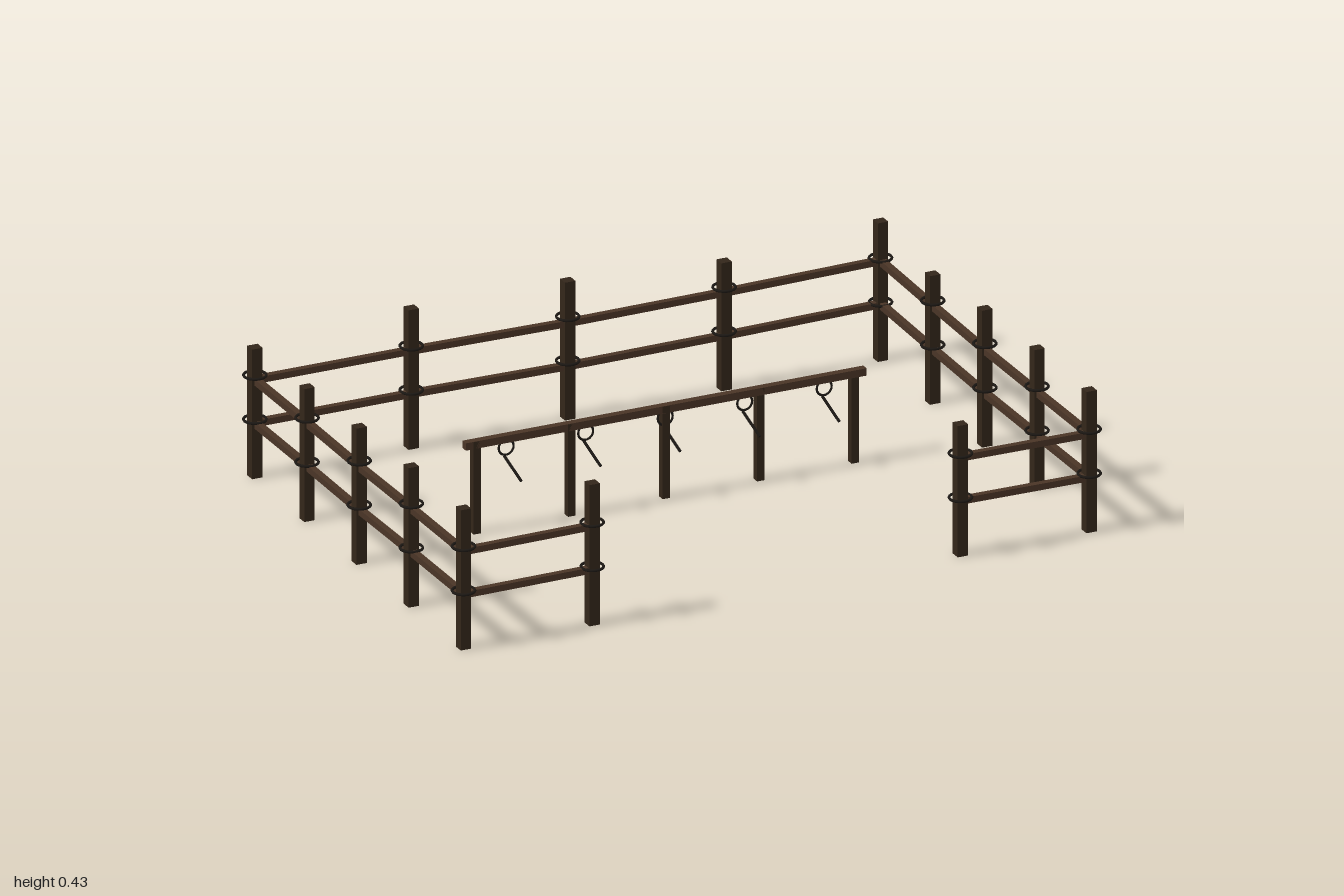
import * as THREE from 'three';

const postWood = new THREE.MeshStandardMaterial({ color: 0x33261a });
postWood.name = 'dark post wood';
const railWood = new THREE.MeshStandardMaterial({ color: 0x4a3526 });
railWood.name = 'rail wood';
const binding = new THREE.MeshStandardMaterial({ color: 0x1c1814 });
binding.name = 'black binding';

function add(parent, name, geometry, material, x, y, z) {
  const mesh = new THREE.Mesh(geometry, material);
  mesh.name = name;
  mesh.position.set(x, y, z);
  parent.add(mesh);
  return mesh;
}

// Square bar between two points
function bar(parent, name, a, b, size, material) {
  const length = a.distanceTo(b);
  const mesh = add(parent, name, new THREE.BoxGeometry(size, size, length), material, 0, 0, 0);
  mesh.position.copy(a).add(b).multiplyScalar(0.5);
  mesh.lookAt(b);
  return mesh;
}

export function createModel() {
  const model = new THREE.Group();
  model.name = 'corral';

  // Fence line from one side of the gate round to the other: x, z, post height
  const posts = [
    [-0.565, 0.67, 0.425], [-0.96, 0.67, 0.422], [-0.96, 0.335, 0.42], [-0.96, 0, 0.41],
    [-0.96, -0.335, 0.4], [-0.96, -0.67, 0.39], [-0.48, -0.67, 0.42], [0, -0.67, 0.415],
    [0.48, -0.67, 0.385], [0.96, -0.67, 0.417], [0.96, -0.335, 0.387], [0.96, 0, 0.412],
    [0.96, 0.335, 0.422], [0.96, 0.67, 0.425], [0.565, 0.67, 0.395],
  ];
  // Small drop or rise of the rails at each post
  const sag = [0.003, 0, 0, -0.003, 0, 0, 0, -0.005, -0.002, 0.005, -0.001, -0.005, -0.003, 0, 0.002];
  const ringGeometry = new THREE.TorusGeometry(0.032, 0.004, 6, 18).rotateX(Math.PI / 2);

  const fence = new THREE.Group();
  fence.name = 'fence';
  model.add(fence);
  posts.forEach(([x, z, h], i) => {
    add(fence, 'fencePost', new THREE.BoxGeometry(0.032, h, 0.032), postWood, x, h / 2, z);
    for (const y of [0.172, 0.305]) add(fence, 'postBinding', ringGeometry, binding, x, y, z);
    if (i === posts.length - 1) return;
    const [nx, nz] = posts[i + 1];
    for (const y of [0.161, 0.291]) {
      bar(fence, 'fenceRail', new THREE.Vector3(x, y + sag[i], z),
        new THREE.Vector3(nx, y + sag[i + 1], nz), 0.019, railWood);
    }
  });

  // Hitching rail with tie rings and hanging straps
  const hitch = new THREE.Group();
  hitch.name = 'hitchingRail';
  hitch.position.z = -0.048;
  model.add(hitch);
  add(hitch, 'hitchBeam', new THREE.BoxGeometry(1.23, 0.022, 0.022), railWood, 0, 0.268, 0);
  const hitchPost = new THREE.BoxGeometry(0.022, 0.278, 0.022);
  const tieRing = new THREE.TorusGeometry(0.023, 0.0035, 6, 18);
  for (let i = -2; i <= 2; i++) {
    add(hitch, 'hitchPost', hitchPost, postWood, i * 0.29, 0.139, 0);
    const x = i * 0.244;
    add(hitch, 'tieRing', tieRing, binding, x, 0.242, 0.004);
    bar(hitch, 'strap', new THREE.Vector3(x, 0.222, 0.004),
      new THREE.Vector3(x + 0.028, 0.138, 0.03), 0.006, binding);
  }
  return model;
}
